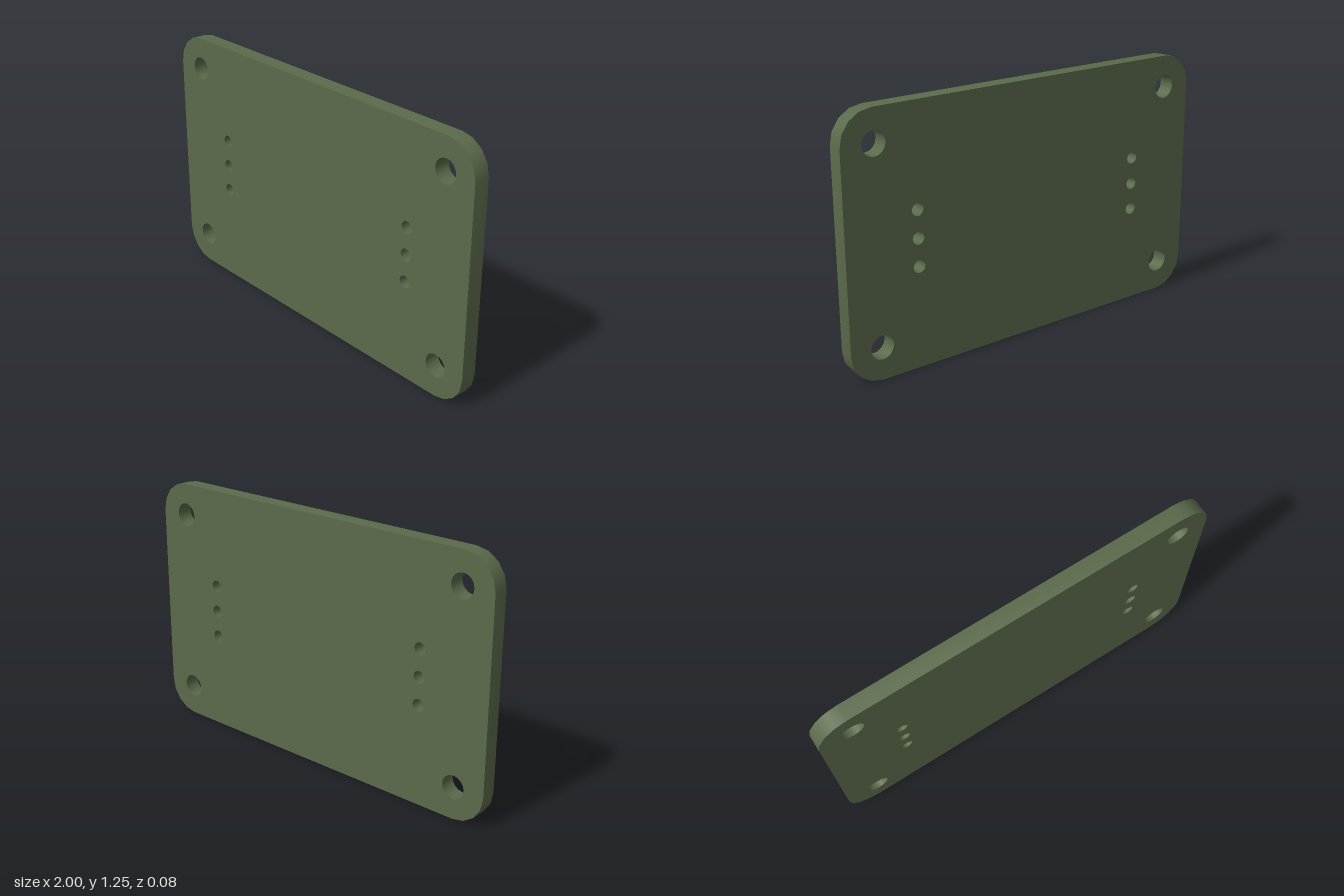
import * as THREE from 'three';
import { toCreasedNormals } from 'three/addons/utils/BufferGeometryUtils.js';

const W = 2, H = 1.25, T = 0.08, R = 0.157;

// Points along an arc, end included
function arc(cx, cy, r, start, sweep, n) {
  return Array.from({ length: n + 1 }, (_, i) => {
    const a = start + (sweep * i) / n;
    return new THREE.Vector2(cx + r * Math.cos(a), cy + r * Math.sin(a));
  });
}

// Round hole with a given number of sides
function hole(x, y, r, sides) {
  return new THREE.Path(arc(x, y, r, 0, -Math.PI * 2, sides).slice(0, -1));
}

export function createModel() {
  const group = new THREE.Group();
  group.name = 'mountingPlate';

  // Outline with rounded corners, counter-clockwise from the top right
  const cx = W / 2 - R, cy = H / 2 - R;
  const corners = [[1, 1], [-1, 1], [-1, -1], [1, -1]];
  const outline = corners.flatMap(([sx, sy], i) =>
    arc(sx * cx, sy * cy, R, (i * Math.PI) / 2, Math.PI / 2, 4));
  const shape = new THREE.Shape(outline);

  // Corner screw holes
  for (const [sx, sy] of corners) shape.holes.push(hole(sx * 0.84, sy * 0.468, 0.058, 16));

  // Rows of three pin holes on both sides
  for (const sx of [-1, 1])
    for (const row of [-1, 0, 1]) shape.holes.push(hole(sx * 0.635, row * 0.134, 0.031, 10));

  const geometry = new THREE.ExtrudeGeometry(shape, { depth: T, bevelEnabled: false });
  geometry.translate(0, H / 2, -T / 2);

  const plate = new THREE.Mesh(
    toCreasedNormals(geometry, 1),
    new THREE.MeshStandardMaterial({ color: 0x5b6a4b })
  );
  plate.name = 'plate';
  group.add(plate);
  return group;
}
